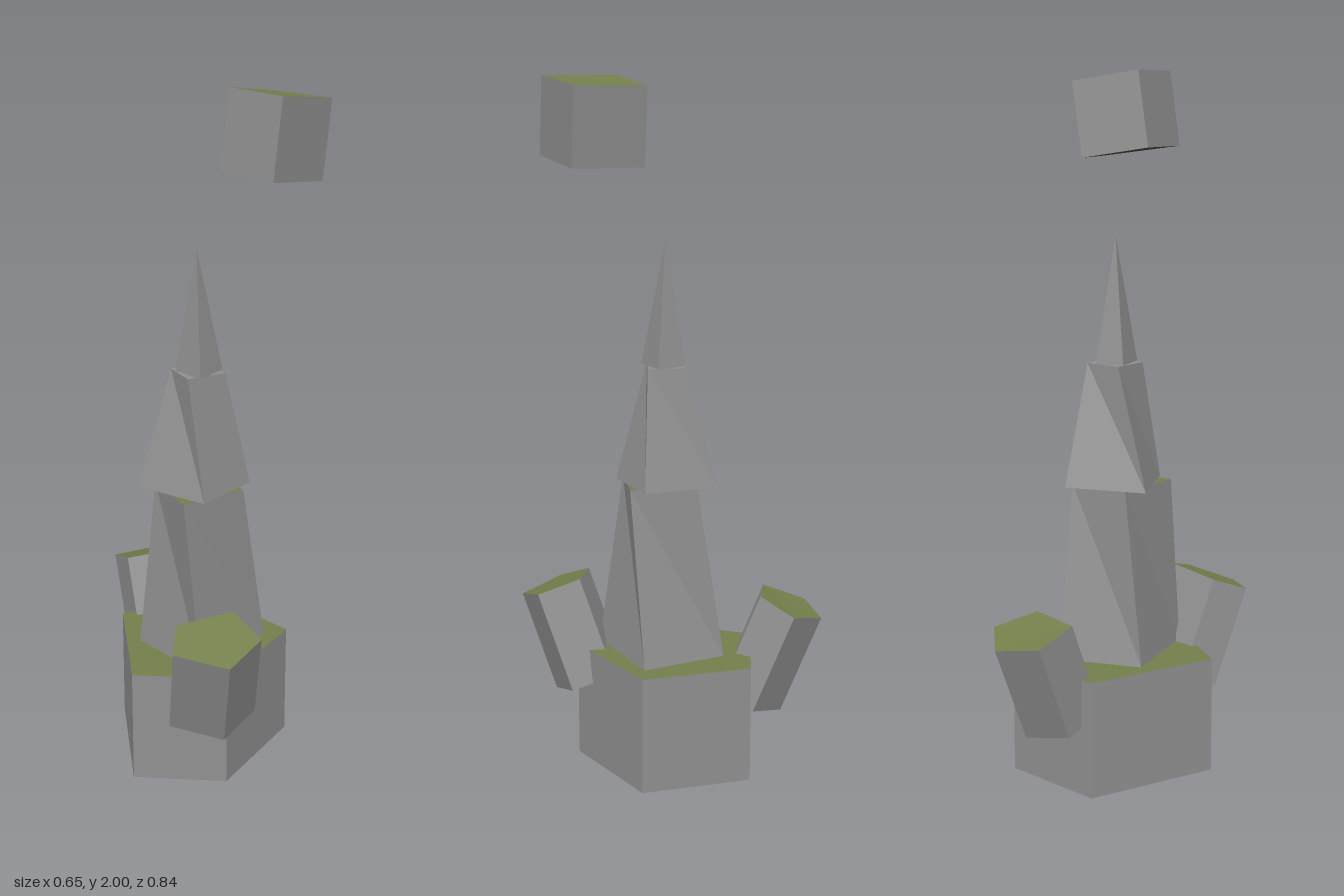
import * as THREE from 'three';

const paint = (color) => new THREE.MeshStandardMaterial({ color, flatShading: true });
const stone = paint(0x909090);
const moss = paint(0x727f4a);
const earth = paint(0x51463d);

function mesh(name, triangles, material) {
  const geometry = new THREE.BufferGeometry();
  geometry.setAttribute('position', new THREE.Float32BufferAttribute(triangles.flat(), 3));
  geometry.computeVertexNormals();
  const m = new THREE.Mesh(geometry, material);
  m.name = name;
  return m;
}

// Solid between two rings of corners, both counterclockwise seen from above
function block(name, bottom, top, topMaterial = moss) {
  const sides = [], cap = [], underside = [];
  const n = bottom.length;
  for (let i = 0; i < n; i++) {
    const j = (i + 1) % n;
    sides.push(bottom[i], bottom[j], top[i], bottom[j], top[j], top[i]);
    if (i > 0 && i < n - 1) {
      underside.push(bottom[0], bottom[i + 1], bottom[i]);
      cap.push(top[0], top[i], top[i + 1]);
    }
  }
  const group = new THREE.Group();
  group.name = name;
  group.add(
    mesh(name + 'Sides', sides, stone),
    mesh(name + 'Top', cap, topMaterial),
    mesh(name + 'Underside', underside, earth));
  return group;
}

// Level ring of [x, z] corners, and a ring moved by an offset
const level = (y, ring) => ring.map(([x, z]) => [x, y, z]);
const shift = (ring, d) => ring.map((p) => p.map((v, k) => v + d[k]));

export function createModel() {
  const model = new THREE.Group();
  model.name = 'rockSpire';

  // Five-sided base rock
  const base = [[-0.205, 0.23], [0.07, 0.23], [0.227, -0.095], [-0.015, -0.31], [-0.285, -0.16]];
  model.add(block('baseRock', level(0, base), level(0.34, base)));

  // Two twisted, tapering tiers; corners run front, right, back, left
  model.add(block('lowerTier',
    level(0.34, [[-0.007, 0.203], [0.16, -0.06], [-0.068, -0.19], [-0.208, 0.013]]),
    level(0.845, [[-0.06, 0.153], [0.1, 0.025], [-0.015, -0.13], [-0.16, -0.02]])));
  model.add(block('upperTier',
    level(0.845, [[-0.003, 0.14], [0.115, -0.035], [-0.065, -0.167], [-0.202, 0.027]]),
    level(1.19, [[-0.055, 0.067], [0.045, 0], [-0.02, -0.085], [-0.112, -0.025]]), stone));

  // Pointed tip
  const tip = level(1.19, [[-0.02, 0.063], [0.035, -0.03], [-0.045, -0.068], [-0.097, -0.005]]);
  const apex = [-0.037, 1.548, -0.008];
  const faces = tip.flatMap((p, i) => [p, tip[(i + 1) % 4], apex]);
  faces.push(tip[0], tip[2], tip[1], tip[0], tip[3], tip[2]);
  model.add(mesh('spireTip', faces, stone));

  // Leaning five-sided boulders in front and behind
  const frontTop = [[-0.068, 0.495, 0.39], [0.092, 0.473, 0.417], [0.172, 0.509, 0.302],
    [0.085, 0.548, 0.213], [-0.07, 0.533, 0.285]];
  model.add(block('frontBoulder', shift(frontTop, [-0.023, -0.285, -0.105]), frontTop));

  const backTop = [[-0.273, 0.507, -0.21], [-0.14, 0.515, -0.272], [-0.12, 0.475, -0.392],
    [-0.24, 0.447, -0.42], [-0.328, 0.467, -0.32]];
  model.add(block('backBoulder', shift(backTop, [0.057, -0.285, 0.1]), backTop));

  // Floating tilted rock above the tip
  const floatTop = [[0.205, 2, 0.24], [0.327, 1.97, 0.05], [0.16, 1.97, -0.073], [0.057, 2, 0.09]];
  model.add(block('floatingRock', shift(floatTop, [-0.02, -0.215, 0.023]), floatTop));

  return model;
}
